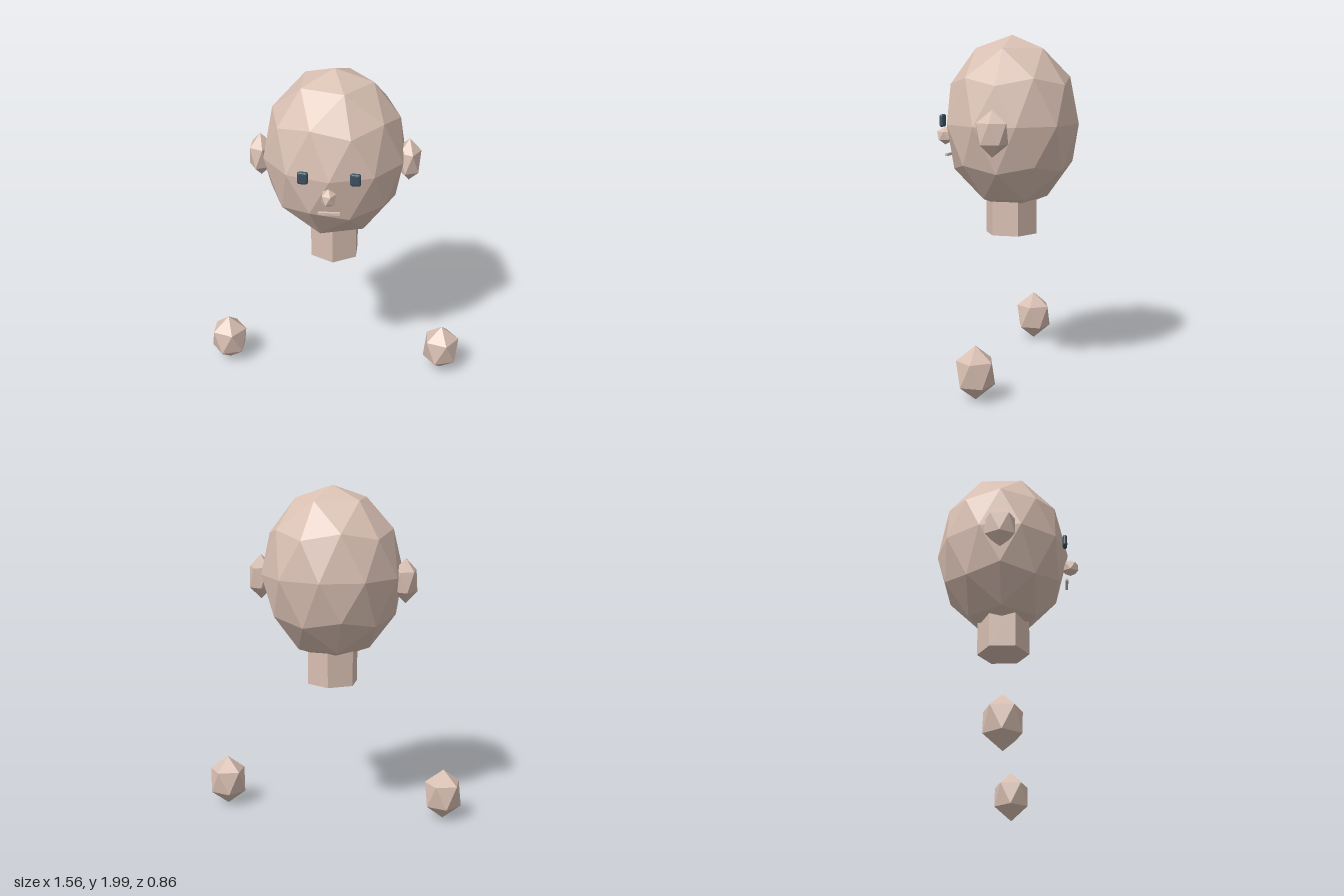
import * as THREE from 'three';
import { RoundedBoxGeometry } from 'three/addons/geometries/RoundedBoxGeometry.js';

export function createModel() {
  const model = new THREE.Group();
  const skin = new THREE.MeshStandardMaterial({ color: 0xd8bfb2, flatShading: true });
  const dark = new THREE.MeshStandardMaterial({ color: 0x3c5260, flatShading: true });

  function add(name, geometry, material, x, y, z) {
    const mesh = new THREE.Mesh(geometry, material);
    mesh.name = name;
    mesh.position.set(x, y, z);
    model.add(mesh);
  }

  // Faceted ball with a vertex at each pole, stretched to its three radii
  function facetBall(rx, ry, rz, detail = 0) {
    const g = new THREE.IcosahedronGeometry(1, detail);
    g.rotateZ(-Math.atan(2 / (1 + Math.sqrt(5))));
    g.scale(rx, ry, rz);
    g.computeVertexNormals();
    return g;
  }

  // Head and hexagonal neck
  add('head', facetBall(0.42, 0.513, 0.401, 1), skin, 0, 1.487, -0.031);
  add('neck', new THREE.CylinderGeometry(0.155, 0.155, 0.22, 6), skin, 0, 0.94, -0.026);

  // Face
  add('nose', facetBall(0.047, 0.054, 0.057), skin, 0, 1.402, 0.383);
  add('mouth', new THREE.BoxGeometry(0.124, 0.015, 0.016), skin, 0, 1.291, 0.36);

  // Paired parts: same facet orientation on both sides
  for (const [side, s] of [['left', 1], ['right', -1]]) {
    add(side + 'Eye', new RoundedBoxGeometry(0.061, 0.074, 0.027, 2, 0.013), dark, s * 0.146, 1.503, 0.351);
    add(side + 'Ear', facetBall(0.076, 0.133, 0.103), skin, s * 0.431, 1.455, -0.03);
    add(side + 'Hand', facetBall(0.122, 0.153, 0.12), skin, s * 0.672, 0.159, -0.002);
  }
  return model;
}
